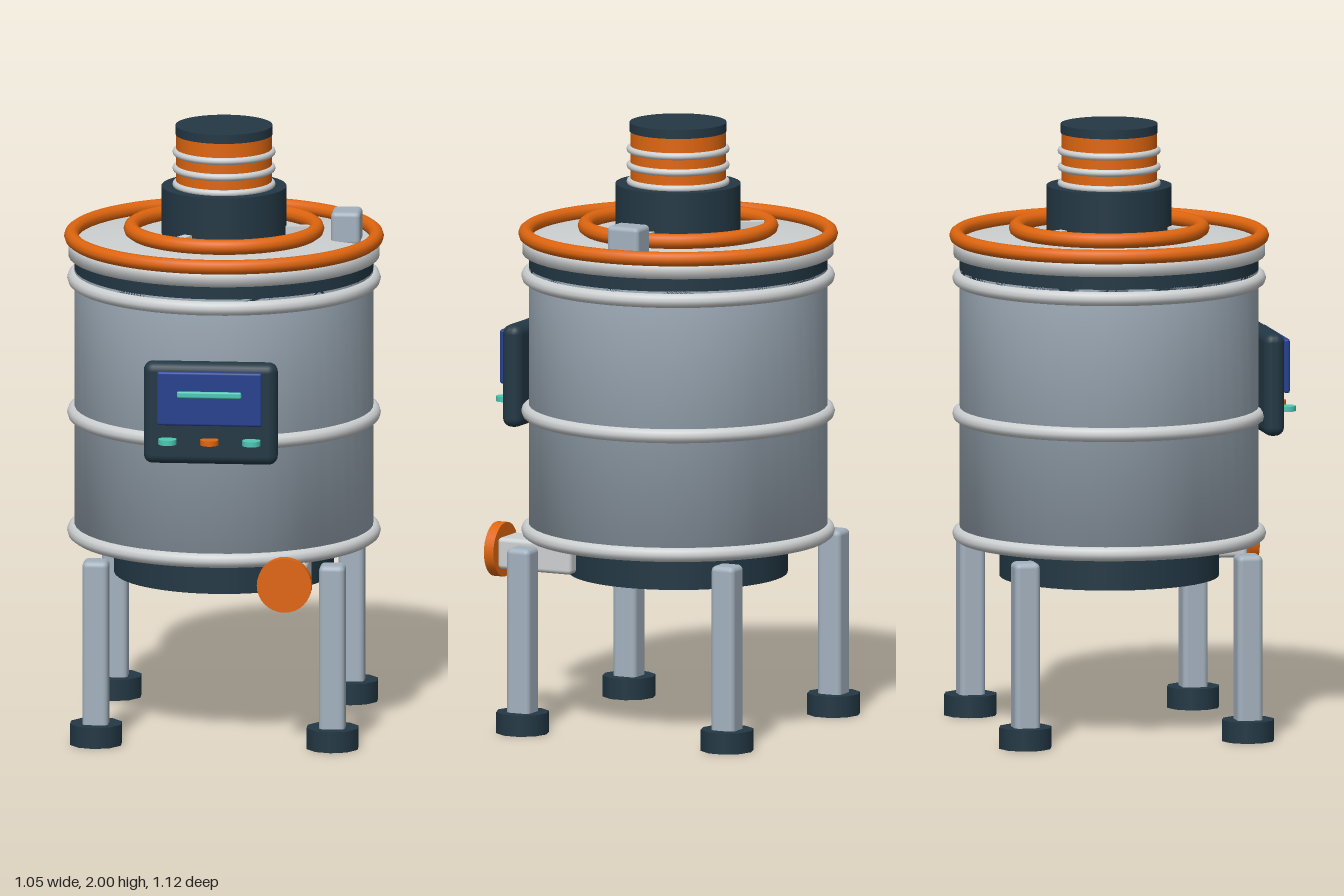
import * as THREE from 'three';
import { RoundedBoxGeometry } from 'three/addons/geometries/RoundedBoxGeometry.js';

const mat = (name, color) => new THREE.MeshStandardMaterial({ name, color });

export function createModel() {
  const steel = mat('blue grey steel', 0xa3b1be);
  const light = mat('light metal', 0xcdd0d1);
  const dark = mat('dark slate', 0x233845);
  const orange = mat('orange', 0xe0660f);
  const blue = mat('screen blue', 0x25408f);
  const teal = mat('teal', 0x4fc8b4);

  const model = new THREE.Group();
  model.name = 'tank';
  // The vessel axis sits slightly behind the middle because the panel sticks out
  const vessel = new THREE.Group();
  vessel.name = 'vessel';
  vessel.position.z = -0.035;
  model.add(vessel);

  const add = (parent, name, geometry, material, x = 0, y = 0, z = 0) => {
    const mesh = new THREE.Mesh(geometry, material);
    mesh.name = name;
    mesh.position.set(x, y, z);
    parent.add(mesh);
    return mesh;
  };
  const drum = (name, r, y0, y1, material) =>
    add(vessel, name, new THREE.CylinderGeometry(r, r, y1 - y0, 48), material, 0, (y0 + y1) / 2);
  const hoop = (name, r, tube, y, material) =>
    add(vessel, name, new THREE.TorusGeometry(r, tube, 10, 64).rotateX(Math.PI / 2), material, 0, y);
  const lathe = (name, points, material) =>
    add(vessel, name, new THREE.LatheGeometry(points.map(p => new THREE.Vector2(...p)), 48), material);
  const box = (parent, name, w, h, d, r, material, x, y, z) =>
    add(parent, name, new RoundedBoxGeometry(w, h, d, 3, r), material, x, y, z);

  // Body with its bands and base
  lathe('body', [[0, 0.635], [0.49, 0.645], [0.49, 1.52]], steel);
  for (const y of [0.645, 1.04, 1.49]) hoop('bodyBand', 0.49, 0.024, y, light);
  drum('base', 0.36, 0.505, 0.645, dark);

  // Lid
  drum('lidSeal', 0.49, 1.51, 1.57, dark);
  lathe('lid', [[0.47, 1.565], [0.51, 1.565], [0.51, 1.605], [0.49, 1.612], [0.3, 1.632], [0, 1.645]], light);
  hoop('lidRim', 0.5, 0.024, 1.63, orange);
  hoop('handWheel', 0.304, 0.025, 1.655, orange);
  for (let i = 0; i < 3; i++) {
    const a = i * Math.PI * 2 / 3;
    const spoke = add(vessel, 'wheelSpoke', new THREE.BoxGeometry(0.14, 0.03, 0.03), light,
      Math.cos(a) * 0.235, 1.652, Math.sin(a) * 0.235);
    spoke.rotation.y = -a;
  }
  box(vessel, 'lidLatch', 0.096, 0.11, 0.115, 0.015, steel, 0.402, 1.665, -0.02);

  // Neck and cap
  drum('hub', 0.205, 1.64, 1.797, dark);
  drum('neck', 0.157, 1.79, 1.97, orange);
  for (const y of [1.803, 1.857, 1.911]) hoop('neckRing', 0.157, 0.012, y, light);
  drum('cap', 0.159, 1.97, 2, dark);

  // Legs and feet
  for (const sx of [-1, 1]) for (const sz of [-1, 1]) {
    box(vessel, 'leg', 0.085, 0.565, 0.085, 0.018, steel, sx * 0.389, 0.333, sz * 0.375);
    add(vessel, 'foot', new THREE.CylinderGeometry(0.088, 0.088, 0.07, 10), dark, sx * 0.389, 0.035, sz * 0.375);
  }

  // Control panel
  const panel = new THREE.Group();
  panel.name = 'controlPanel';
  model.add(panel);
  box(panel, 'panelCase', 0.44, 0.34, 0.07, 0.03, dark, 0, 1.145, 0.473);
  box(panel, 'screen', 0.346, 0.18, 0.02, 0.008, blue, 0, 1.201, 0.524);
  box(panel, 'screenBar', 0.212, 0.022, 0.014, 0.006, teal, 0, 1.217, 0.54);
  [teal, orange, teal].forEach((m, i) =>
    add(panel, 'button', new THREE.CylinderGeometry(0.03, 0.03, 0.017, 20), m, (i - 1) * 0.138, 1.057, 0.53));

  // Outlet at the lower front
  box(model, 'outletPipe', 0.13, 0.105, 0.27, 0.015, light, 0.244, 0.572, 0.34);
  add(model, 'outletValve', new THREE.CylinderGeometry(0.09, 0.09, 0.035, 32).rotateX(Math.PI / 2),
    orange, 0.244, 0.576, 0.492);

  return model;
}
